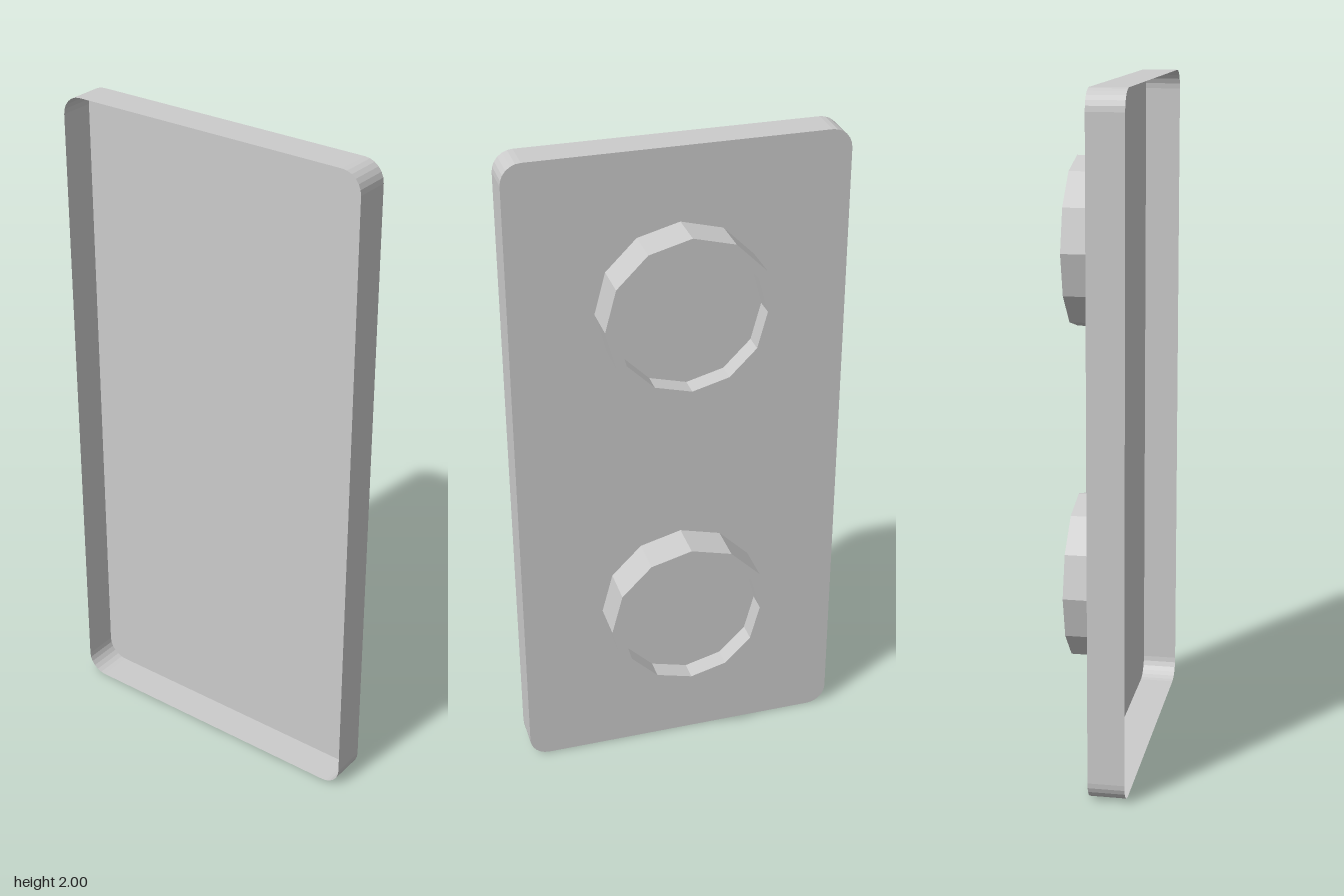
import * as THREE from 'three';

const W = 0.497, H = 2, R = 0.06;   // half width, height, corner radius
const BACK = 0.007, FRONT = 0.113;  // depth of the tray along z

// Rounded rectangle outline standing on y = 0
function outline() {
  const s = new THREE.Shape();
  s.absarc(W - R, R, R, -Math.PI / 2, 0);
  s.absarc(W - R, H - R, R, 0, Math.PI / 2);
  s.absarc(-W + R, H - R, R, Math.PI / 2, Math.PI);
  s.absarc(-W + R, R, R, Math.PI, Math.PI * 1.5);
  s.closePath();
  return s;
}

// Thin wall following the outline from back to front
function wallGeometry(shape) {
  const pts = shape.getPoints(3);
  const pos = [], index = [];
  pts.forEach((p) => pos.push(p.x, p.y, BACK, p.x, p.y, FRONT));
  for (let i = 0; i < pts.length - 1; i++) {
    const a = 2 * i;
    index.push(a, a + 2, a + 3, a, a + 3, a + 1);
  }
  const g = new THREE.BufferGeometry();
  g.setAttribute('position', new THREE.Float32BufferAttribute(pos, 3));
  g.setIndex(index);
  const flat = g.toNonIndexed();
  flat.computeVertexNormals();
  return flat;
}

export function createModel() {
  const group = new THREE.Group();
  const material = new THREE.MeshStandardMaterial({
    color: 0xcccccc, flatShading: true, side: THREE.DoubleSide,
  });
  const add = (name, geometry) => {
    const mesh = new THREE.Mesh(geometry, material);
    mesh.name = name;
    group.add(mesh);
    return mesh;
  };

  // Shallow tray, open at the front
  const shape = outline();
  const panel = new THREE.ShapeGeometry(shape, 3);
  panel.rotateY(Math.PI).translate(0, 0, BACK); // faces the back
  add('backPanel', panel);
  add('trayWall', wallGeometry(shape));

  // Twelve-sided round feet with a recessed face
  const profile = [[0.25, 0], [0.25, 0.12], [0.22, 0.12], [0.22, 0.06], [0, 0.06]]
    .map(([r, y]) => new THREE.Vector2(r, y));
  const foot = new THREE.LatheGeometry(profile, 12).rotateX(-Math.PI / 2);
  [['upperFoot', 1.53], ['lowerFoot', 0.516]].forEach(([name, y]) => {
    add(name, foot).position.set(0, y, BACK);
  });

  return group;
}
